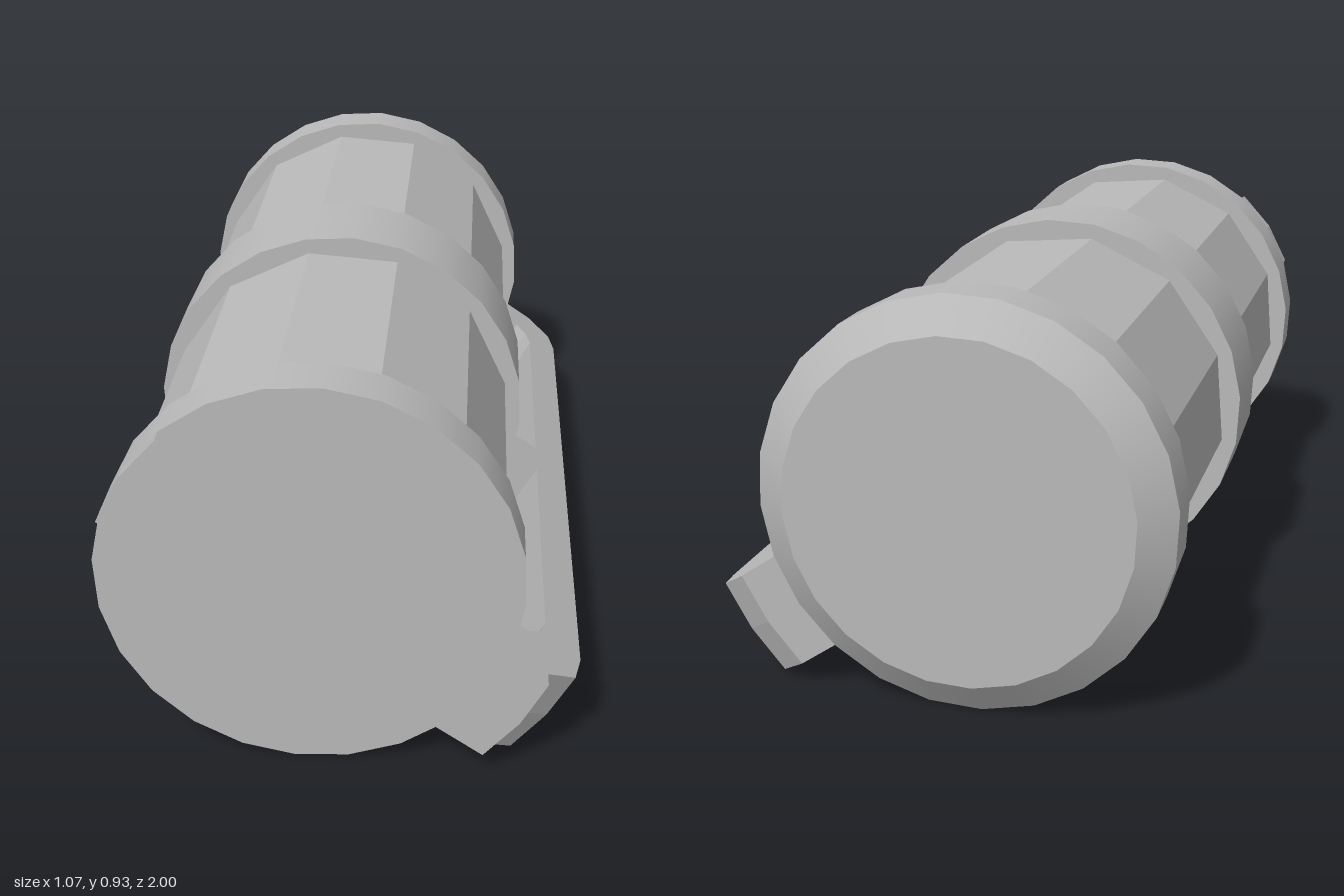
import * as THREE from 'three';

const grey = new THREE.MeshStandardMaterial({ color: 0xbababa });
grey.name = 'plain grey';

const R = 0.467;      // collar radius
const HALF = 0.12;    // half width of the strap

function add(parent, name, geometry) {
  const mesh = new THREE.Mesh(geometry, grey);
  mesh.name = name;
  parent.add(mesh);
  return mesh;
}

// Cylinder along z from z0 (back) to z1 (front)
function barrel(rBack, rFront, z0, z1, sides) {
  return new THREE.CylinderGeometry(rFront, rBack, z1 - z0, sides)
    .rotateX(Math.PI / 2)
    .translate(0, 0, (z0 + z1) / 2);
}

const shapeOf = (points) => new THREE.Shape(points.map(([x, y]) => new THREE.Vector2(x, y)));

export function createModel() {
  const model = new THREE.Group();
  model.name = 'strappedCanister';

  // Everything is built around the canister axis, strap towards +x, then rolled
  const canister = new THREE.Group();
  canister.name = 'canister';
  canister.position.set(-0.07, 0.47, 0);
  canister.rotation.z = THREE.MathUtils.degToRad(-34.6);
  model.add(canister);

  // Twelve-sided faceted body
  const body = barrel(0.43, 0.43, -0.9, 0.9, 12).rotateZ(Math.PI / 12).toNonIndexed();
  body.computeVertexNormals();
  add(canister, 'body', body);

  // Collars and the bevelled back cap
  add(canister, 'frontCollar', barrel(R, R, 0.84, 0.96, 24));
  add(canister, 'middleCollar', barrel(R, R, -0.12, 0.13, 24));
  add(canister, 'backCollar', barrel(R, R, -0.945, -0.83, 24));
  add(canister, 'backCap', barrel(0.39, R, -1, -0.945, 24));

  // Flat bar across the front, its far end following the collar
  const bar = shapeOf([
    [-0.451, -HALF], [0.55, -HALF], [0.563, 0], [0.55, HALF], [-0.451, HALF], [-R, 0],
  ]);
  add(canister, 'frontBar',
    new THREE.ExtrudeGeometry(bar, { depth: 0.04, bevelEnabled: false }).translate(0, 0, 0.96));

  // Side handle with two openings, drawn as (z, distance from axis)
  const handle = shapeOf([
    [0.96, 0.42], [0.96, 0.55], [0.91, 0.628], [0.83, 0.647],
    [-0.83, 0.647], [-0.9, 0.628], [-0.945, 0.55], [-0.945, 0.42],
    [-0.83, 0.42], [-0.825, 0.5], [-0.8, 0.535], [-0.75, 0.55],
    [-0.06, 0.55], [-0.06, 0.42], [0.055, 0.42], [0.055, 0.55],
    [0.77, 0.55], [0.815, 0.535], [0.84, 0.5], [0.84, 0.42],
  ]);
  const handleGeo = new THREE.ExtrudeGeometry(handle, {
    depth: 2 * HALF, steps: 2, bevelEnabled: false,
  }).translate(0, 0, -HALF);
  // Bulge the middle of the handle slightly outwards
  const p = handleGeo.attributes.position;
  for (let i = 0; i < p.count; i++) {
    if (Math.abs(p.getZ(i)) < 0.01 && p.getY(i) > 0.45) p.setY(i, p.getY(i) + 0.011);
  }
  handleGeo.computeVertexNormals();
  handleGeo.applyMatrix4(new THREE.Matrix4().makeBasis(
    new THREE.Vector3(0, 0, 1), new THREE.Vector3(1, 0, 0), new THREE.Vector3(0, 1, 0)));
  add(canister, 'sideHandle', handleGeo);

  return model;
}
